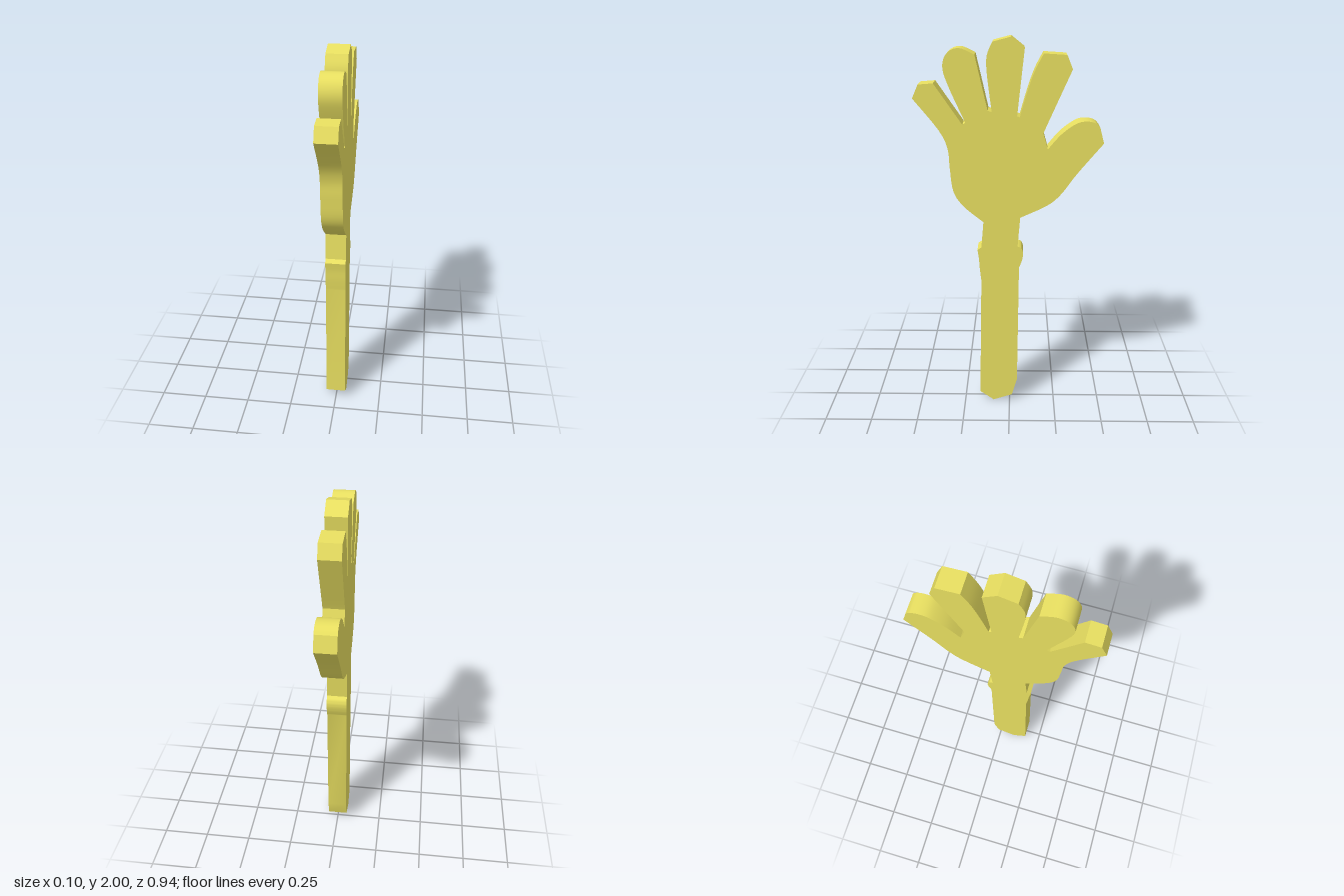
import * as THREE from 'three';
import { toCreasedNormals } from 'three/addons/utils/BufferGeometryUtils.js';

const THICKNESS = 0.105;

// Outline in (z, y). 'line' runs keep their corners, 'curve' runs are smooth
// and begin at the last point of the run before.
const OUTLINE = [
  // handle base and rear edge
  ['line', [[0.15, 0.745], [0.165, 0.055], [0.09, 0], [-0.013, 0.035], [-0.042, 0.135], [-0.05, 0.82]]],
  // rear bump on the neck
  ['curve', [[-0.065, 0.86], [-0.071, 0.9], [-0.062, 0.93], [-0.042, 0.94]]],
  ['line', [[-0.055, 1.1]]],
  // heel of the hand up to the thumb
  ['curve', [[-0.19, 1.165], [-0.26, 1.225], [-0.34, 1.335], [-0.467, 1.49]]],
  ['line', [[-0.445, 1.57]]],
  ['curve', [[-0.42, 1.592], [-0.375, 1.6], [-0.325, 1.587], [-0.255, 1.535], [-0.19, 1.46]]],
  ['line', [[-0.167, 1.54]]],
  // index finger
  ['curve', [[-0.19, 1.595], [-0.302, 1.85]]],
  ['line', [[-0.274, 1.917], [-0.163, 1.924]]],
  ['curve', [[-0.122, 1.845], [-0.088, 1.75], [-0.05, 1.62]]],
  ['line', [[-0.037, 1.625]]],
  // middle finger
  ['line', [[-0.072, 1.948], [-0.006, 2], [0.08, 1.978]]],
  ['curve', [[0.108, 1.915], [0.109, 1.83], [0.087, 1.645]]],
  ['line', [[0.107, 1.652], [0.167, 1.918]]],
  // ring finger
  ['curve', [[0.24, 1.948], [0.298, 1.925], [0.321, 1.86], [0.295, 1.768], [0.217, 1.592]]],
  ['line', [[0.232, 1.582]]],
  // little finger
  ['line', [[0.369, 1.783], [0.443, 1.777], [0.473, 1.71]]],
  // outer edge of the palm
  ['curve', [[0.35, 1.555], [0.308, 1.46], [0.3, 1.36], [0.285, 1.24], [0.235, 1.16], [0.135, 1.075]]],
  // front of the neck with its small notch
  ['line', [[0.147, 0.935], [0.168, 0.92]]],
  ['curve', [[0.161, 0.87], [0.157, 0.81], [0.15, 0.745]]],
];

function handShape() {
  const points = [];
  for (const [kind, run] of OUTLINE) {
    const run2 = run.map(([z, y]) => new THREE.Vector2(z, y));
    if (kind === 'line') points.push(...run2);
    else {
      const curve = new THREE.SplineCurve([points[points.length - 1], ...run2]);
      points.push(...curve.getPoints(run2.length * 5).slice(1));
    }
  }
  points.pop(); // the outline closes on its first point
  return new THREE.Shape(points);
}

export function createModel() {
  const group = new THREE.Group();
  group.name = 'handOnHandle';

  // One flat slab, turned so that its thickness lies along x
  const slab = new THREE.ExtrudeGeometry(handShape(), { depth: THICKNESS, bevelEnabled: false });
  slab.translate(0, 0, -THICKNESS / 2);
  slab.rotateY(-Math.PI / 2);

  const hand = new THREE.Mesh(
    toCreasedNormals(slab, 0.45),
    new THREE.MeshStandardMaterial({ color: 0xe8df60 })
  );
  hand.name = 'handAndHandle';
  group.add(hand);
  return group;
}
